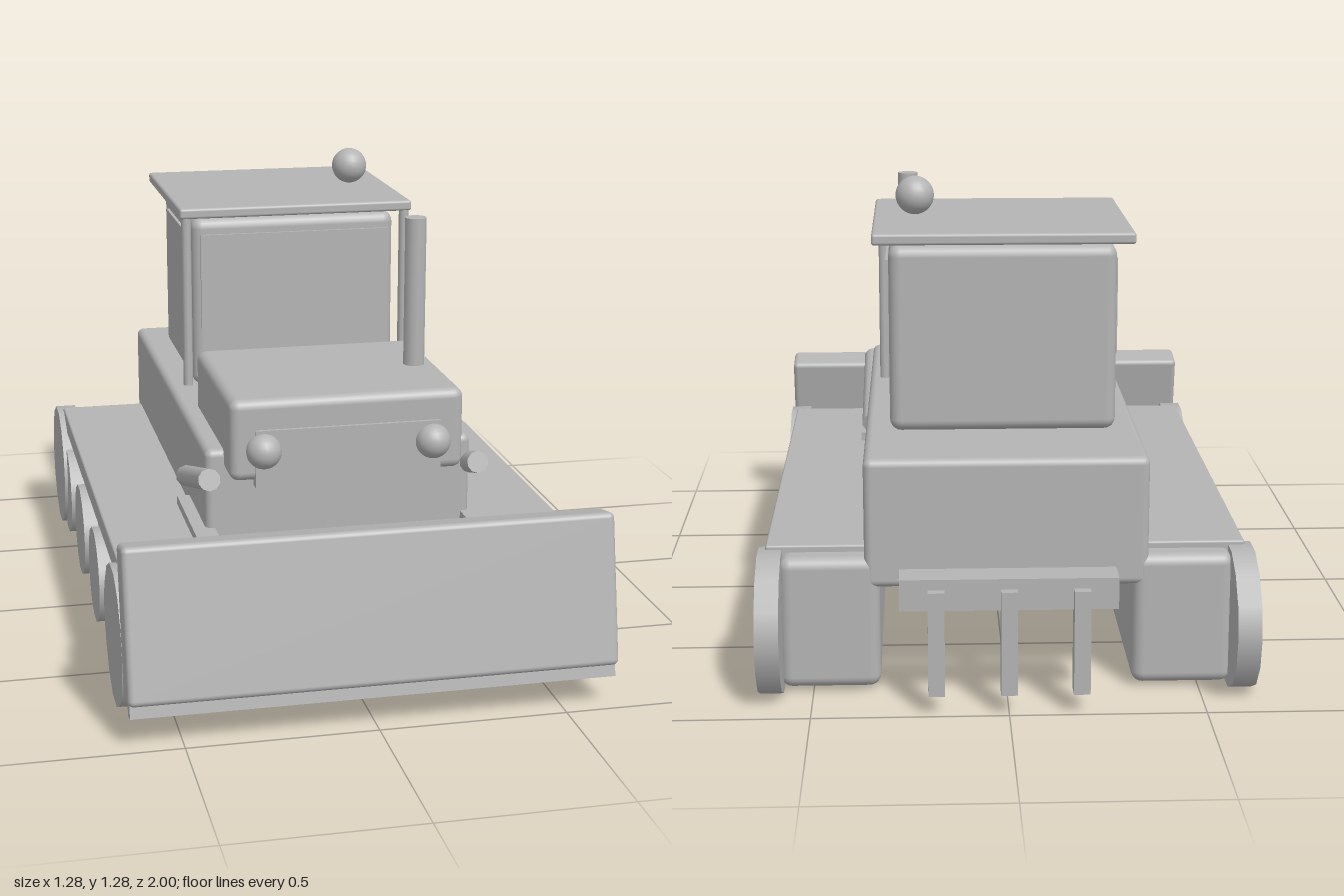
import * as THREE from 'three';
import { RoundedBoxGeometry } from 'three/addons/geometries/RoundedBoxGeometry.js';

export function createModel() {
  const model = new THREE.Group();
  model.name = 'bulldozer';
  const grey = new THREE.MeshStandardMaterial({ color: 0xb4b4b4 });
  grey.name = 'plain grey';

  const add = (name, geometry, x, y, z, parent = model) => {
    const mesh = new THREE.Mesh(geometry, grey);
    mesh.name = name;
    mesh.position.set(x, y, z);
    parent.add(mesh);
    return mesh;
  };
  // Box given by its [min, max] extents, with an optional rounding radius
  const box = (name, [x0, x1], [y0, y1], [z0, z1], radius = 0) => {
    const size = [x1 - x0, y1 - y0, z1 - z0];
    const geometry = radius ? new RoundedBoxGeometry(...size, 3, radius) : new THREE.BoxGeometry(...size);
    return add(name, geometry, (x0 + x1) / 2, (y0 + y1) / 2, (z0 + z1) / 2);
  };
  const ball = (name, r, x, y, z) => add(name, new THREE.SphereGeometry(r, 20, 14), x, y, z);
  const rod = (name, r, from, to, sides) => {
    const a = new THREE.Vector3(...from), b = new THREE.Vector3(...to);
    const dir = b.clone().sub(a), mid = a.clone().add(b).multiplyScalar(0.5);
    const mesh = add(name, new THREE.CylinderGeometry(r, r, dir.length(), sides), mid.x, mid.y, mid.z);
    mesh.quaternion.setFromUnitVectors(new THREE.Vector3(0, 1, 0), dir.normalize());
    return mesh;
  };
  const wheel = (name, r, sides, x0, x1, y, z) => rod(name, r, [x0, y, z], [x1, y, z], sides);

  // Hull, engine hood and grille
  box('hull', [-0.365, 0.365], [0.29, 0.63], [-0.835, 0.535], 0.02);
  box('hood', [-0.315, 0.315], [0.57, 0.79], [0.09, 0.635], 0.025);
  box('grille', [-0.25, 0.25], [0.555, 0.71], [0.615, 0.645]);
  rod('exhaust', 0.03, [0.25, 0.75, 0.36], [0.25, 1.2, 0.36], 12);

  // Cab with windows, roof and beacon
  box('cab', [-0.298, 0.298], [0.64, 1.135], [-0.6, -0.058], 0.03);
  box('frontWindow', [-0.275, 0.275], [0.815, 1.09], [-0.058, -0.049]);
  box('roof', [-0.34, 0.34], [1.145, 1.175], [-0.648, -0.013], 0.008);
  ball('beacon', 0.052, 0.228, 1.23, -0.33);

  // Parts mirrored on both sides
  for (const s of [-1, 1]) {
    const span = (a, b) => (s > 0 ? [a, b] : [-b, -a]);
    box('sideWindow', span(0.298, 0.307), [0.83, 1.085], [-0.51, -0.145]);
    rod('roofPost', 0.014, [s * 0.32, 0.655, -0.029], [s * 0.32, 1.15, -0.029], 10);
    ball('headlight', 0.047, s * 0.228, 0.655, 0.645);

    // Track unit, fender and wheels
    box('track', span(0.325, 0.585), [0.018, 0.37], [-0.835, 0.72], 0.03);
    box('fender', span(0.3, 0.62), [0.33, 0.388], [-0.775, 0.655], 0.006);
    for (const z of [0.683, -0.79]) {
      wheel('sprocket', 0.19, 14, s * 0.577, s * 0.638, 0.192, z);
    }
    for (const z of [0.528, 0.142, -0.244, -0.63]) {
      wheel('roadWheel', 0.137, 14, s * 0.577, s * 0.628, 0.155, z);
    }

    // Blade linkage
    box('pushArm', span(0.34, 0.4), [0.35, 0.413], [0.25, 0.88]);
    rod('liftCylinder', 0.03, [s * 0.366, 0.455, 0.205], [s * 0.366, 0.573, 0.605], 10);
  }

  // Tilted blade with its cutting edge
  const bladeGroup = new THREE.Group();
  bladeGroup.name = 'bladeAssembly';
  bladeGroup.position.set(0, 0.313, 0.91);
  bladeGroup.rotation.x = -0.2;
  model.add(bladeGroup);
  add('blade', new RoundedBoxGeometry(1.28, 0.4, 0.107, 3, 0.015), 0, 0, 0, bladeGroup);
  add('cuttingEdge', new THREE.BoxGeometry(1.27, 0.06, 0.04), 0, -0.203, 0.01, bladeGroup);

  // Rear ripper
  box('ripperBar', [-0.275, 0.275], [0.278, 0.36], [-0.975, -0.89]);
  for (const x of [-0.183, 0, 0.183]) {
    box('ripperTooth', [x - 0.021, x + 0.021], [0.06, 0.333], [-1, -0.945]);
  }
  return model;
}
